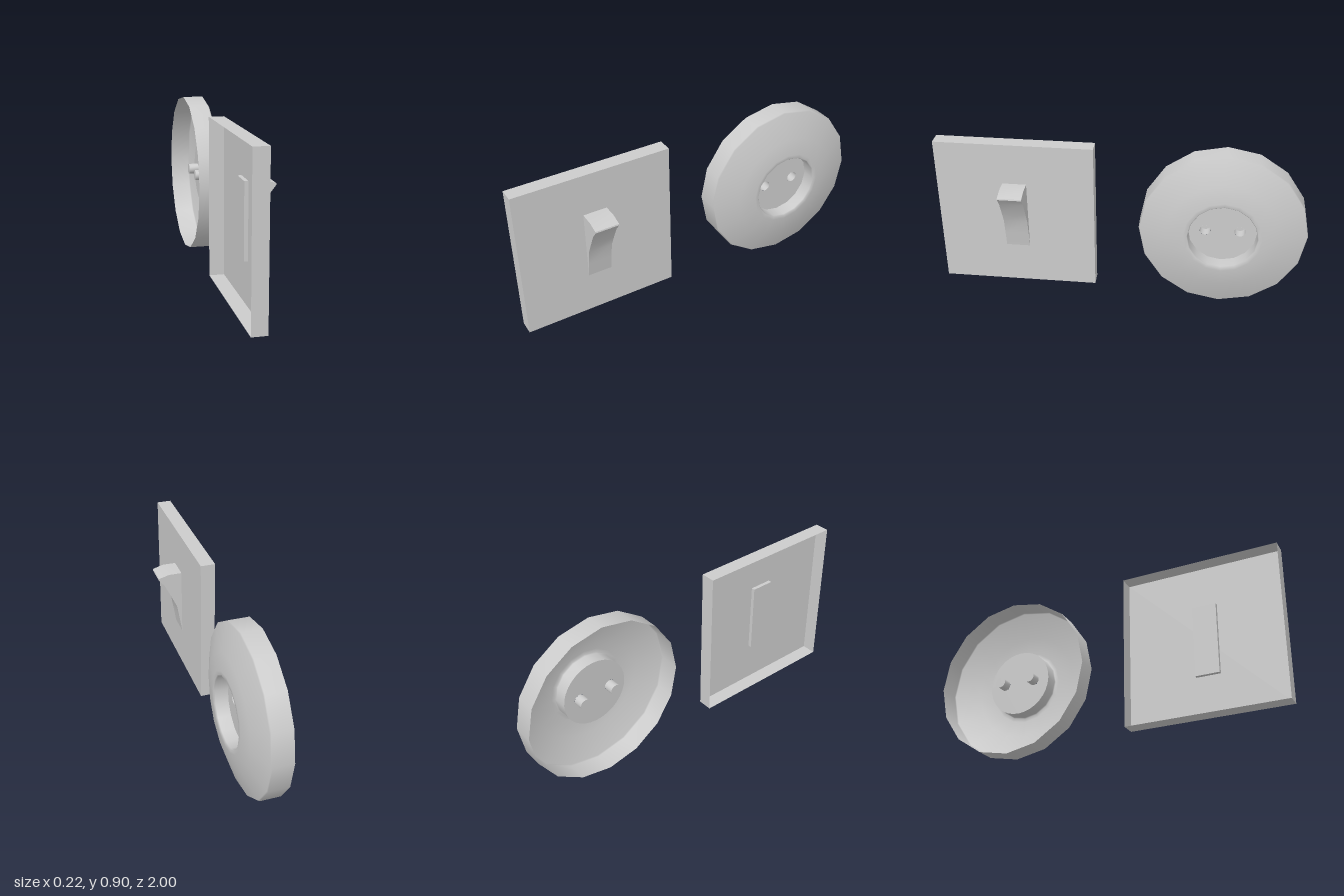
import * as THREE from 'three';
import { toCreasedNormals } from 'three/addons/utils/BufferGeometryUtils.js';

const material = new THREE.MeshStandardMaterial({ color: 0xcccccc, side: THREE.DoubleSide });

function addPart(parent, name, geometry, x = 0, y = 0, z = 0) {
  const mesh = new THREE.Mesh(geometry, material);
  mesh.name = name;
  mesh.position.set(x, y, z);
  parent.add(mesh);
  return mesh;
}

// Turn a profile of [radius, x] pairs around the x axis
function turned(points, sides) {
  const geometry = new THREE.LatheGeometry(points.map(([r, x]) => new THREE.Vector2(r, x)), sides);
  return geometry.rotateZ(-Math.PI / 2);
}

function createSocket() {
  const socket = new THREE.Group();
  socket.name = 'socket';
  const floorX = -0.01, recessR = 0.185, holeR = 0.03, holeOffset = 0.0925;

  // Domed cover, open at the back, running into the recess wall
  addPart(socket, 'socketCover', turned([
    [0.45, -0.11], [0.45, 0], [0.445, 0.006], [0.305, 0.053],
    [0.21, 0.066], [0.19, 0.066], [recessR, 0.06], [recessR, floorX],
  ], 16));

  // Recess floor with two pin holes
  const floor = new THREE.Shape().absarc(0, 0, recessR, 0, Math.PI * 2);
  for (const side of [-1, 1]) {
    floor.holes.push(new THREE.Path().absarc(side * holeOffset, 0, holeR, 0, Math.PI * 2, true));
  }
  addPart(socket, 'socketFloor', new THREE.ShapeGeometry(floor, 16).rotateY(Math.PI / 2), floorX);

  // Closed sleeves behind the holes
  for (const side of [-1, 1]) {
    const sleeve = turned([[0, floorX - 0.055], [holeR, floorX - 0.055], [holeR, floorX]], 16);
    addPart(socket, 'pinSleeve', toCreasedNormals(sleeve, 0.6), 0, 0, side * holeOffset);
  }
  socket.position.set(0, 0.455, -0.55);
  return socket;
}

function createSwitch() {
  const group = new THREE.Group();
  group.name = 'lightSwitch';

  // Square plate, a box without its back face
  const plate = new THREE.BoxGeometry(0.08, 0.85, 0.855);
  const index = Array.from(plate.index.array);
  index.splice(6, 6);
  plate.setIndex(index);
  plate.clearGroups();
  addPart(group, 'switchPlate', plate, -0.07, 0.465, 0.5725);

  // Rocker with a curved lower face, reaching through the plate
  const profile = new THREE.Shape([
    [-0.05, 0.27], [-0.03, 0.27], [-0.016, 0.355], [0, 0.445], [0.033, 0.515],
    [0.07, 0.59], [0.106, 0.636], [0.104, 0.643], [0.045, 0.66], [-0.05, 0.66],
  ].map(([x, y]) => new THREE.Vector2(x, y)));
  const rocker = new THREE.ExtrudeGeometry(profile, { depth: 0.13, bevelEnabled: false });
  addPart(group, 'rocker', toCreasedNormals(rocker, 0.6), 0, 0, 0.51);
  return group;
}

export function createModel() {
  const model = new THREE.Group();
  model.name = 'switchAndSocket';
  model.add(createSocket(), createSwitch());
  return model;
}
